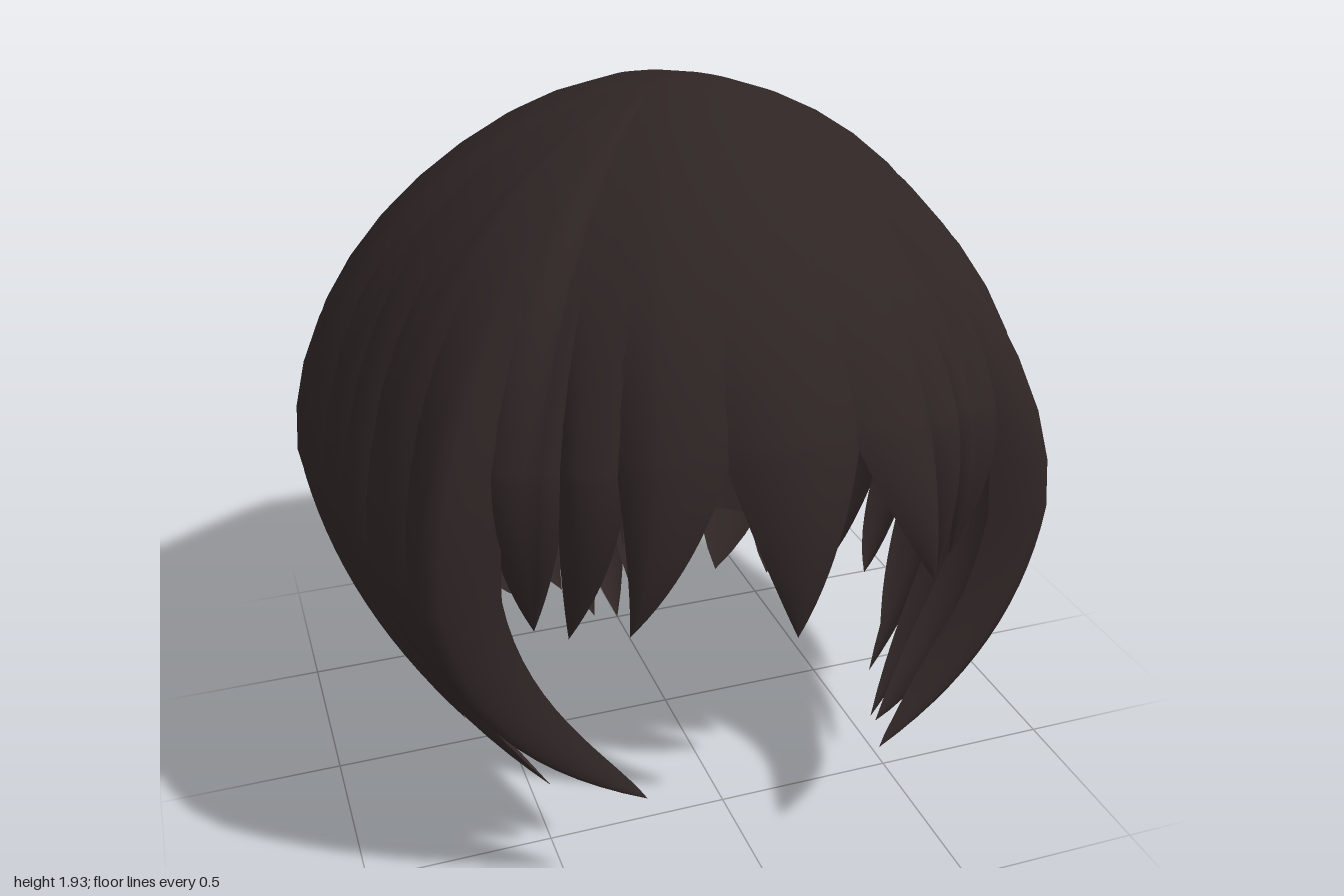
import * as THREE from 'three';

const hair = new THREE.MeshStandardMaterial({ color: 0x2f2525, side: THREE.DoubleSide });
hair.name = 'dark brown hair';

// One half of the hairstyle, front to back:
// name, [x, z] at the widest point, [x, y, z] of the tip
const HALF = [
  ['fringe', [0, 0.99], [0, 0.83, 0.96]],
  ['fringe', [0.34, 0.93], [0.39, 0.87, 0.89]],
  ['templeLock', [0.5, 0.83], [0.49, 0.78, 0.72]],
  ['templeLock', [0.59, 0.76], [0.56, 0.78, 0.66]],
  ['sideLock', [0.82, 0.69], [0.32, 0.32, 0.8]],
  ['sideLock', [0.9, 0.41], [0.4, 0.26, 0.62]],
  ['sideLock', [0.94, 0.24], [0.48, 0.13, 0.44]],
  ['sideLock', [0.96, 0.08], [0.55, 0.17, 0.28]],
  ['sideLock', [1, -0.09], [0.65, 0.19, 0.15]],
  ['sideLock', [1, -0.25], [0.72, 0.25, -0.12]],
  ['sideLock', [0.96, -0.42], [0.62, 0.19, -0.25]],
  ['backLock', [0.89, -0.67], [0.48, 0.16, -0.36]],
  ['backLock', [0.6, -0.79], [0.32, 0.17, -0.42]],
  ['backLock', [0.4, -0.89], [0.2, 0.17, -0.46]],
  ['backLock', [0.2, -0.98], [0.08, 0.02, -0.5]],
  ['backLock', [0, -0.98], [0, 0, -0.5]],
];

// taper: how late the lock narrows; wide: overlap with neighbours; a: angle from crown where it hangs free;
// bend: x and z factors and height of the control point of the free end
const STYLE = {
  fringe: { taper: 1.15, wide: 1.1, a: 1.22, bend: [1.1, 1.05, 1.1] },
  templeLock: { taper: 2.2, wide: 1.2, a: 1.25, bend: [1.04, 1.05, 1.06] },
  sideLock: { taper: 3.8, wide: 1.2, a: Math.PI / 2, bend: [0.93, 0.47, 1.02] },
  backLock: { taper: 4, wide: 1.25, a: Math.PI / 2, bend: [0.93, 0.47, 1.02] },
};

// Full ring of locks, mirrored, sorted by azimuth (0 = front, positive = left)
function makeRing() {
  const ring = [];
  for (const [name, [x, z], tip] of HALF) {
    const lock = { name, th: Math.atan2(x, z), R: Math.hypot(x, z), tip: new THREE.Vector3(...tip) };
    ring.push(lock);
    if (x > 0) ring.push({ ...lock, th: -lock.th, tip: new THREE.Vector3(-tip[0], tip[1], tip[2]) });
  }
  return ring.sort((p, q) => p.th - q.th);
}

// Head radius at an azimuth, interpolated between lock centres
function radiusAt(ring, th) {
  const T = 2 * Math.PI, n = ring.length;
  for (let i = 0; i < n; i++) {
    const p = ring[i], q = ring[(i + 1) % n];
    const span = (q.th - p.th + T) % T, d = (((th - p.th) % T) + T) % T;
    if (d <= span) return p.R + (q.R - p.R) * d / span;
  }
  return ring[0].R;
}

function makeLock(ring, i) {
  const T = 2 * Math.PI, n = ring.length, lock = ring[i], st = STYLE[lock.name];
  const halfR = ((ring[(i + 1) % n].th - lock.th + T) % T) / 2;
  const halfL = ((lock.th - ring[(i + n - 1) % n].th + T) % T) / 2;

  // point on the dome: round at the crown, squarer and scalloped below,
  // widest lower at the sides and corners; u runs across the lock, a down from the crown
  const dome = (u, a) => {
    const th = lock.th + u * (u < 0 ? halfL : halfR);
    const full = radiusAt(ring, th), side = Math.sin(th) ** 2;
    const R = THREE.MathUtils.lerp(Math.min(full, 1.01), full, THREE.MathUtils.smoothstep(a, 0.6, 1.5));
    const k = THREE.MathUtils.smoothstep(a, 0.8, 1.5);
    const r = R * Math.pow(Math.sin(a), 1.1 + 0.05 * side) * (1 - 0.04 * k * u * u);
    const widest = 1 - 0.08 * side - 0.06 * Math.sin(2 * th) ** 2;
    return new THREE.Vector3(r * Math.sin(th), widest + (1.935 - widest) * Math.cos(a), r * Math.cos(th));
  };

  // free-hanging centre line
  const root = dome(0, st.a);
  const bend = new THREE.Vector3(root.x * st.bend[0], st.bend[1], root.z * st.bend[2]);
  const hang = new THREE.QuadraticBezierCurve3(root, bend, lock.tip);

  const COLS = 10, DOME = 12, HANG = 14, pos = [], idx = [];
  for (let j = 0; j <= DOME + HANG; j++) {
    for (let c = 0; c <= COLS; c++) {
      const u = (c / COLS * 2 - 1) * st.wide;
      let p;
      if (j <= DOME) p = dome(u, Math.max(0.001, st.a * j / DOME));
      else {
        const s = (j - DOME) / HANG;
        p = dome(u, st.a).sub(root).multiplyScalar(1 - Math.pow(s, st.taper)).add(hang.getPoint(s));
      }
      pos.push(p.x, p.y, p.z);
    }
  }
  const W = COLS + 1;
  for (let j = 0; j < DOME + HANG; j++) {
    for (let c = 0; c < COLS; c++) {
      const a = j * W + c, b = a + W;
      idx.push(a, b, a + 1, a + 1, b, b + 1);
    }
  }
  const g = new THREE.BufferGeometry();
  g.setAttribute('position', new THREE.Float32BufferAttribute(pos, 3));
  g.setIndex(idx);
  g.computeVertexNormals();
  const mesh = new THREE.Mesh(g, hair);
  mesh.name = lock.name;
  return mesh;
}

// Smooth lining behind the back locks
function makeLining() {
  const profile = new THREE.SplineCurve([
    [0.66, 0.33], [0.74, 0.45], [0.83, 0.65], [0.88, 0.95], [0.84, 1.2], [0.7, 1.45], [0.43, 1.7], [0.001, 1.84],
  ].map(([r, y]) => new THREE.Vector2(r, y)));
  const start = Math.PI * 2 / 3;
  const mesh = new THREE.Mesh(new THREE.LatheGeometry(profile.getPoints(24), 24, start, start), hair);
  mesh.name = 'backLining';
  return mesh;
}

export function createModel() {
  const group = new THREE.Group();
  group.name = 'hair';
  const ring = makeRing();
  ring.forEach((_, i) => group.add(makeLock(ring, i)));
  group.add(makeLining());
  return group;
}
